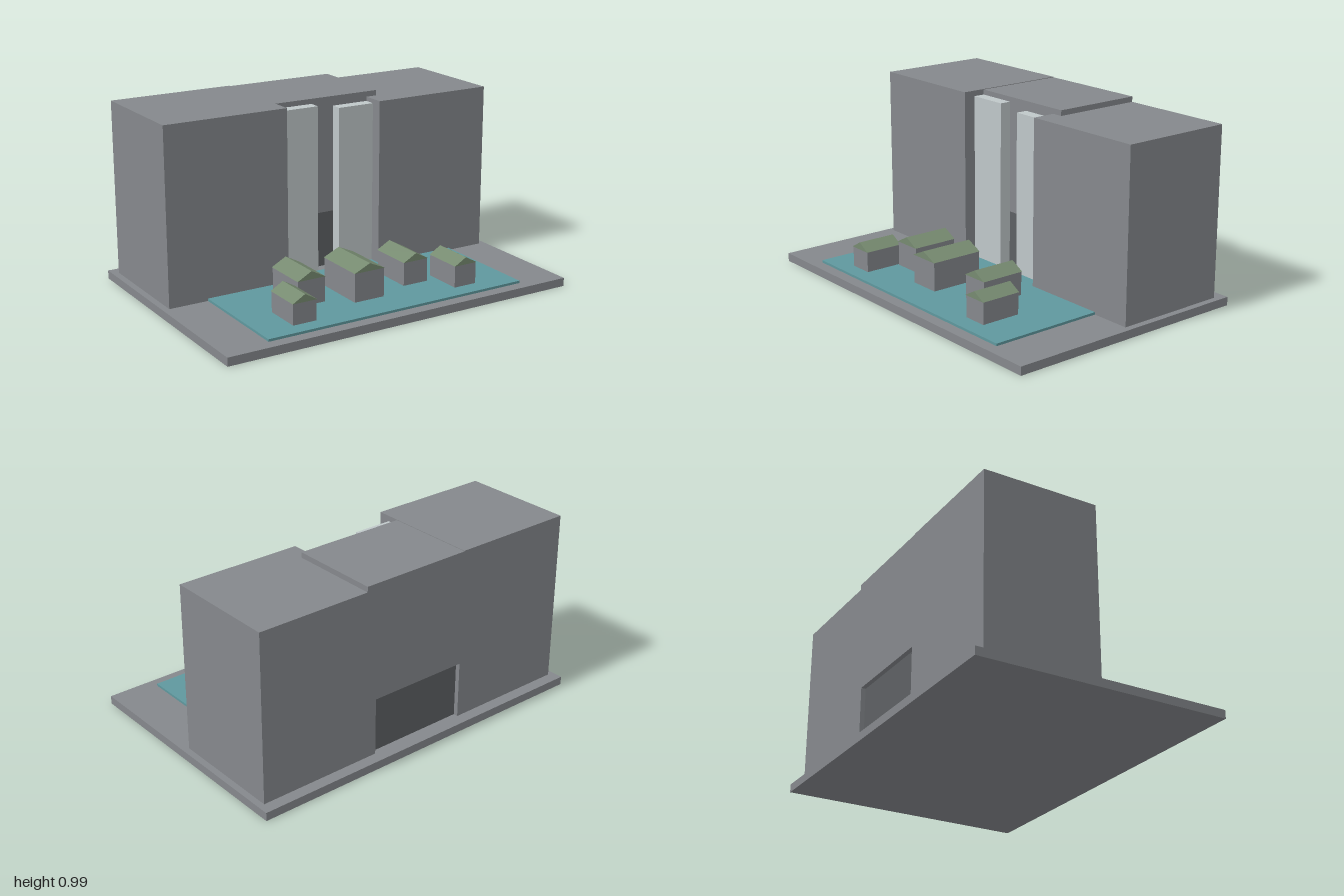
import * as THREE from 'three';

const mat = (name, color) => {
  const m = new THREE.MeshStandardMaterial({ color });
  m.name = name;
  return m;
};

export function createModel() {
  const stone = mat('grey stone', 0x85888c);
  const dark = mat('dark cave stone', 0x5d6063);
  const water = mat('teal water', 0x5f989e);
  const foam = mat('pale falling water', 0xbfc7c9);
  const moss = mat('green roof', 0x768a70);

  const model = new THREE.Group();
  model.name = 'cliffVillage';

  // Box given by its lower and upper corners
  const box = (name, material, [x0, y0, z0], [x1, y1, z1], parent = model) => {
    const mesh = new THREE.Mesh(new THREE.BoxGeometry(x1 - x0, y1 - y0, z1 - z0), material);
    mesh.position.set((x0 + x1) / 2, (y0 + y1) / 2, (z0 + z1) / 2);
    mesh.name = name;
    parent.add(mesh);
  };

  // Ground and pool
  const ground = 0.045, pool = 0.058;
  box('base', stone, [-1, 0, -0.688], [1, ground, 0.688]);
  box('pool', water, [-0.75, ground, -0.065], [0.75, pool, 0.625]);

  // Cliffs, with a bridge of rock over the cave between them
  box('rightCliff', stone, [-0.965, ground, -0.625], [-0.28, 0.985, 0]);
  box('leftCliff', stone, [0.28, ground, -0.625], [0.965, 0.953, 0]);
  box('middleCliff', stone, [-0.28, 0.355, -0.625], [0.28, 0.953, -0.128]);
  box('topSlab', stone, [-0.28, 0.953, -0.625], [0.34, 0.982, -0.128]);
  box('cave', dark, [-0.28, ground, -0.6], [0.28, 0.355, -0.15]);

  // Twin waterfalls
  box('rightWaterfall', foam, [-0.28, ground, -0.128], [-0.06, 0.955, -0.065]);
  box('leftWaterfall', foam, [0.07, ground, -0.128], [0.28, 0.93, -0.065]);

  // Gabled houses: x0, x1, z0, z1, eave height, ridge height
  const houses = [
    [-0.57, -0.432, 0.328, 0.543, 0.168, 0.208],
    [-0.428, -0.266, 0.088, 0.347, 0.192, 0.235],
    [-0.155, 0.025, 0.147, 0.443, 0.212, 0.253],
    [0.19, 0.342, 0.125, 0.373, 0.184, 0.225],
    [0.398, 0.536, 0.308, 0.533, 0.174, 0.213],
  ];
  houses.forEach(([x0, x1, z0, z1, eave, ridge], i) => {
    const house = new THREE.Group();
    house.name = `house${i + 1}`;
    const d = 0.003;
    box('walls', stone, [x0 + d, ground, z0 + d], [x1 - d, eave, z1 - d], house);

    const gable = new THREE.Shape([
      new THREE.Vector2(x0, eave),
      new THREE.Vector2(x1, eave),
      new THREE.Vector2((x0 + x1) / 2, ridge),
    ]);
    const roof = new THREE.Mesh(
      new THREE.ExtrudeGeometry(gable, { depth: z1 - z0, bevelEnabled: false }), moss);
    roof.position.z = z0;
    roof.name = 'roof';
    house.add(roof);
    model.add(house);
  });

  return model;
}
